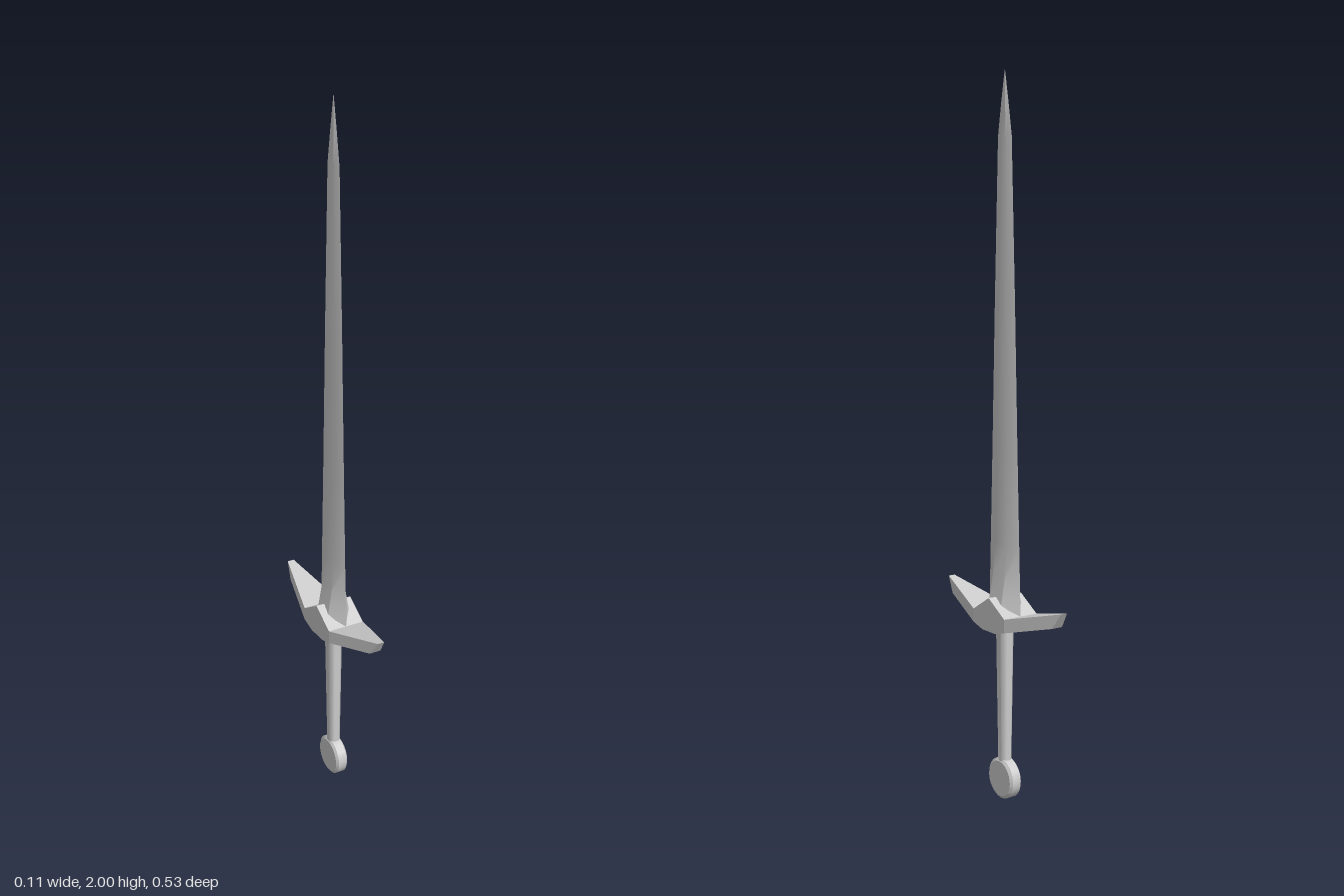
import * as THREE from 'three';
import { toCreasedNormals } from 'three/addons/utils/BufferGeometryUtils.js';

const material = new THREE.MeshStandardMaterial({ color: 0xcccccc });

function addMesh(group, name, geometry, crease = 0.5) {
  const mesh = new THREE.Mesh(toCreasedNormals(geometry, crease), material);
  mesh.name = name;
  group.add(mesh);
  return mesh;
}

// Skin over cross-sections; ring is [x, z] counterclockwise from above,
// each section is [y, half thickness in x, half width in z].
function loft(ring, sections) {
  const positions = [], index = [], n = ring.length;
  for (const [y, sx, sz] of sections)
    for (const [x, z] of ring) positions.push(x * sx, y, z * sz);
  for (let s = 0; s < sections.length - 1; s++)
    for (let i = 0; i < n; i++) {
      const a = s * n + i, b = s * n + (i + 1) % n;
      index.push(a, b, b + n, a, b + n, a + n);
    }
  const top = (sections.length - 1) * n;
  for (let i = 1; i < n - 1; i++) {
    index.push(0, i + 1, i);
    index.push(top, top + i, top + i + 1);
  }
  const geometry = new THREE.BufferGeometry();
  geometry.setAttribute('position', new THREE.Float32BufferAttribute(positions, 3));
  geometry.setIndex(index);
  return geometry;
}

// Side profile of [z, y] points, given a half thickness in x that varies with z
function sideSlab(points, halfThickness) {
  const shape = new THREE.Shape(points.map(([z, y]) => new THREE.Vector2(-z, y)));
  const geometry = new THREE.ExtrudeGeometry(shape, { depth: 2, bevelEnabled: false });
  geometry.translate(0, 0, -1).rotateY(Math.PI / 2);
  const p = geometry.attributes.position;
  for (let i = 0; i < p.count; i++) p.setX(i, p.getX(i) * halfThickness(Math.abs(p.getZ(i))));
  return geometry;
}

export function createModel() {
  const sword = new THREE.Group();
  sword.name = 'sword';

  // Blade: flattened hexagon with sharp edges, flaring into the guard
  const bladeRing = [[1, 0.4], [1, -0.4], [0, -1], [-1, -0.4], [-1, 0.4], [0, 1]];
  addMesh(sword, 'blade', loft(bladeRing, [
    [0.53, 0.042, 0.074], [0.58, 0.031, 0.072], [0.64, 0.021, 0.07], [0.73, 0.013, 0.067],
    [1.0, 0.0105, 0.058], [1.4, 0.0085, 0.046], [1.83, 0.006, 0.031],
    [1.92, 0.004, 0.016], [2.0, 0.0004, 0.0006],
  ]), 0.35);

  // Guard: peaked centre block and two tapering upswept arms
  addMesh(sword, 'guardCentre', sideSlab([
    [0, 0.585], [0.073, 0.54], [0.073, 0.502], [0.03, 0.49],
    [-0.03, 0.49], [-0.073, 0.502], [-0.073, 0.54],
  ], () => 0.055));
  for (const side of [1, -1]) {
    const arm = addMesh(sword, side > 0 ? 'guardArmFront' : 'guardArmBack', sideSlab([
      [0.073, 0.54], [0.265, 0.59], [0.235, 0.545], [0.073, 0.502],
    ], (z) => 0.055 - (z - 0.073) * (0.045 / 0.192)));
    if (side < 0) arm.rotation.y = Math.PI;
  }

  // Grip: eight-sided, narrowing towards the pommel
  const gripRing = [];
  for (let i = 0; i < 8; i++) {
    const a = (i + 0.5) * Math.PI / 4;
    gripRing.push([Math.cos(a) * 1.08, -Math.sin(a) * 1.08]);
  }
  addMesh(sword, 'grip', loft(gripRing, [[0.09, 0.017, 0.018], [0.5, 0.023, 0.024]]), 0.9);

  // Pommel: round disc with a small bevel, its axis across the blade
  const profile = [[0, -0.019], [0.05, -0.019], [0.058, -0.013], [0.058, 0.013], [0.05, 0.019], [0, 0.019]];
  const pommel = new THREE.LatheGeometry(profile.map(([r, h]) => new THREE.Vector2(r, h)), 32);
  pommel.rotateZ(Math.PI / 2).translate(0, 0.058, 0);
  addMesh(sword, 'pommel', pommel);

  return sword;
}
